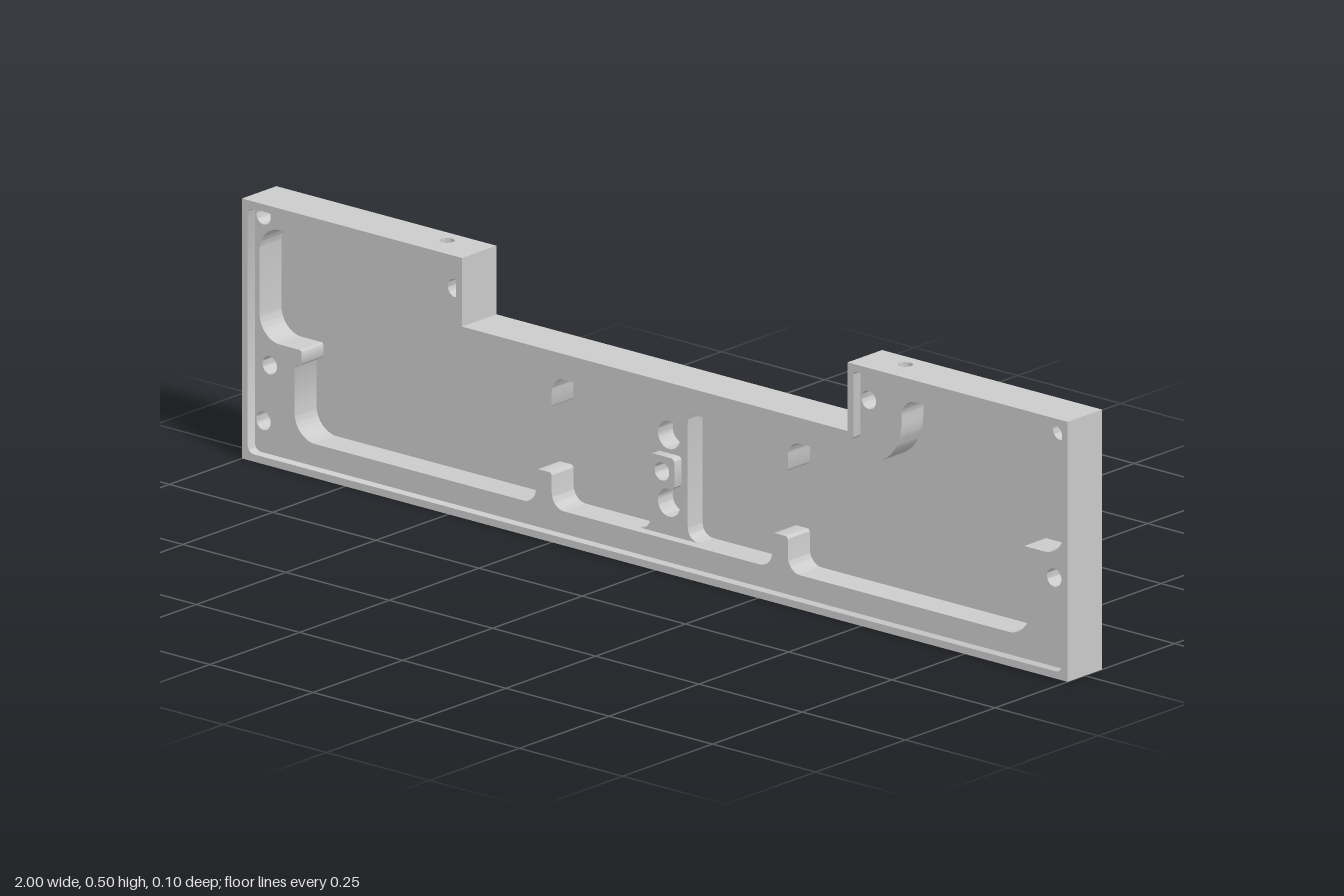
import * as THREE from 'three';
import { toCreasedNormals } from 'three/addons/utils/BufferGeometryUtils.js';

const material = new THREE.MeshStandardMaterial({ color: 0xcccccc });

// Depth levels from back to front
const Z = { back: -0.048, floor: -0.033, mid: 0, divider: 0.008, ledge: 0.028, front: 0.048 };

// Closed outline from [x, y, cornerRadius] points with right-angled corners
function outline(points) {
  const shape = new THREE.Shape();
  const n = points.length, k = 0.5523;
  points.forEach(([x, y, r = 0], i) => {
    const corner = new THREE.Vector2(x, y);
    const toward = (p, d) => corner.clone().add(
      new THREE.Vector2(p[0] - x, p[1] - y).setLength(d));
    const prev = points[(i + n - 1) % n], next = points[(i + 1) % n];
    const a = r ? toward(prev, r) : corner, b = r ? toward(next, r) : corner;
    if (i === 0) shape.moveTo(a.x, a.y); else shape.lineTo(a.x, a.y);
    if (r) {
      const c1 = a.clone().lerp(corner, k), c2 = b.clone().lerp(corner, k);
      shape.bezierCurveTo(c1.x, c1.y, c2.x, c2.y, b.x, b.y);
    }
  });
  shape.closePath();
  return shape;
}

// Complete a right-half outline with its mirror image
const mirrored = (half) => [...half, ...half.map(([x, y, r]) => [-x, y, r]).reverse()];

const hole = (x, y, r = 0.0175) => new THREE.Path().absarc(x, y, r, 0, Math.PI * 2, true);

function extrude(shape, holes, depth) {
  shape.holes.push(...holes);
  return new THREE.ExtrudeGeometry(shape, { depth, bevelEnabled: false, curveSegments: 14 });
}

function createMesh(name, geometry) {
  const mesh = new THREE.Mesh(toCreasedNormals(geometry, 0.6), material);
  mesh.name = name;
  return mesh;
}

function layer(name, points, holes, z0, z1) {
  const mesh = createMesh(name, extrude(outline(points), holes, z1 - z0));
  mesh.position.z = z0;
  return mesh;
}

// Slots in the top edge that receive the drilled inserts
const insert = { x: 0.555, half: 0.03, y: 0.46 };
const body = mirrored([
  [1, 0], [1, 0.5],
  [insert.x + insert.half, 0.5], [insert.x + insert.half, insert.y],
  [insert.x - insert.half, insert.y], [insert.x - insert.half, 0.5],
  [0.467, 0.5], [0.467, 0.368],
]);
const rim = mirrored([[1, 0], [1, 0.5], [0.467, 0.5], [0.467, 0.368]]);
const rimOpening = mirrored([
  [0.986, 0.014, 0.015], [0.986, 0.486, 0.015], [0.481, 0.486, 0.008], [0.481, 0.354, 0.008],
]);

// Pocket with tabs above and below and a step near each end
const pocket = mirrored([
  [0.267, 0.057, 0.03], [0.267, 0.125, 0.006], [0.305, 0.125, 0.006], [0.305, 0.057, 0.03],
  [0.89, 0.057, 0.05], [0.89, 0.2, 0.008], [0.873, 0.2, 0.006], [0.873, 0.23, 0.005],
  [0.975, 0.23, 0.05], [0.975, 0.45, 0.05], [0.58, 0.45, 0.035], [0.58, 0.31, 0.09],
  [0.305, 0.31, 0.03], [0.305, 0.25, 0.006], [0.267, 0.25, 0.006], [0.267, 0.31, 0.03],
]);

// Divider flares out where it meets the pocket walls
function dividerShape() {
  const s = new THREE.Shape(), w = 0.045, f = 0.03, y0 = 0.057, y1 = 0.31;
  s.moveTo(-w - f, y0);
  s.lineTo(w + f, y0);
  s.quadraticCurveTo(w, y0, w, y0 + f);
  s.lineTo(w, y1 - f);
  s.quadraticCurveTo(w, y1, w + f, y1);
  s.lineTo(-w - f, y1);
  s.quadraticCurveTo(-w, y1, -w, y1 - f);
  s.lineTo(-w, y0 + f);
  s.quadraticCurveTo(-w, y0, -w - f, y0);
  return s;
}

export function createModel() {
  const group = new THREE.Group();
  group.name = 'housingPlate';

  // Screw holes running right through the plate
  const through = () => [
    hole(-0.965, 0.47), hole(0.965, 0.47), hole(-0.501, 0.43), hole(0.501, 0.43),
    hole(-0.965, 0.075),
  ];
  const sideHoles = () => [hole(-0.95, 0.185), hole(0.95, 0.185)];
  const blindBackHole = () => hole(0.965, 0.075);

  group.add(
    layer('backPlate', body, [...through(), blindBackHole(), hole(0, 0.185)], Z.back, Z.floor),
    layer('lowerWall', body, [outline(pocket), ...through(), ...sideHoles(), blindBackHole()],
      Z.floor, Z.mid),
    layer('upperWall', body, [outline(pocket), ...through(), ...sideHoles()], Z.mid, Z.ledge),
    layer('rimLip', rim, [outline(rimOpening)], Z.ledge, Z.front),
  );

  // Centre divider with two blind holes and a square boss around the middle hole
  const divider = createMesh('centreDivider', extrude(dividerShape(),
    [hole(0, 0.25, 0.027), hole(0, 0.185), hole(0, 0.12, 0.027)], Z.divider - Z.floor));
  divider.position.z = Z.floor;
  const boss = layer('centreBoss', [
    [-0.03, 0.155, 0.008], [0.03, 0.155, 0.008], [0.03, 0.215, 0.008], [-0.03, 0.215, 0.008],
  ], [hole(0, 0.185)], Z.divider, Z.ledge);
  group.add(divider, boss);

  // Top edge inserts, each drilled from above
  for (const side of [-1, 1]) {
    const cx = side * insert.x, h = insert.half;
    const geometry = extrude(outline([
      [cx - h, -Z.ledge], [cx + h, -Z.ledge], [cx + h, -Z.back], [cx - h, -Z.back],
    ]), [hole(cx, 0.012, 0.014)], 0.5 - insert.y);
    geometry.rotateX(-Math.PI / 2);
    const mesh = createMesh(side > 0 ? 'leftTopInsert' : 'rightTopInsert', geometry);
    mesh.position.y = insert.y;
    group.add(mesh);
  }
  return group;
}
